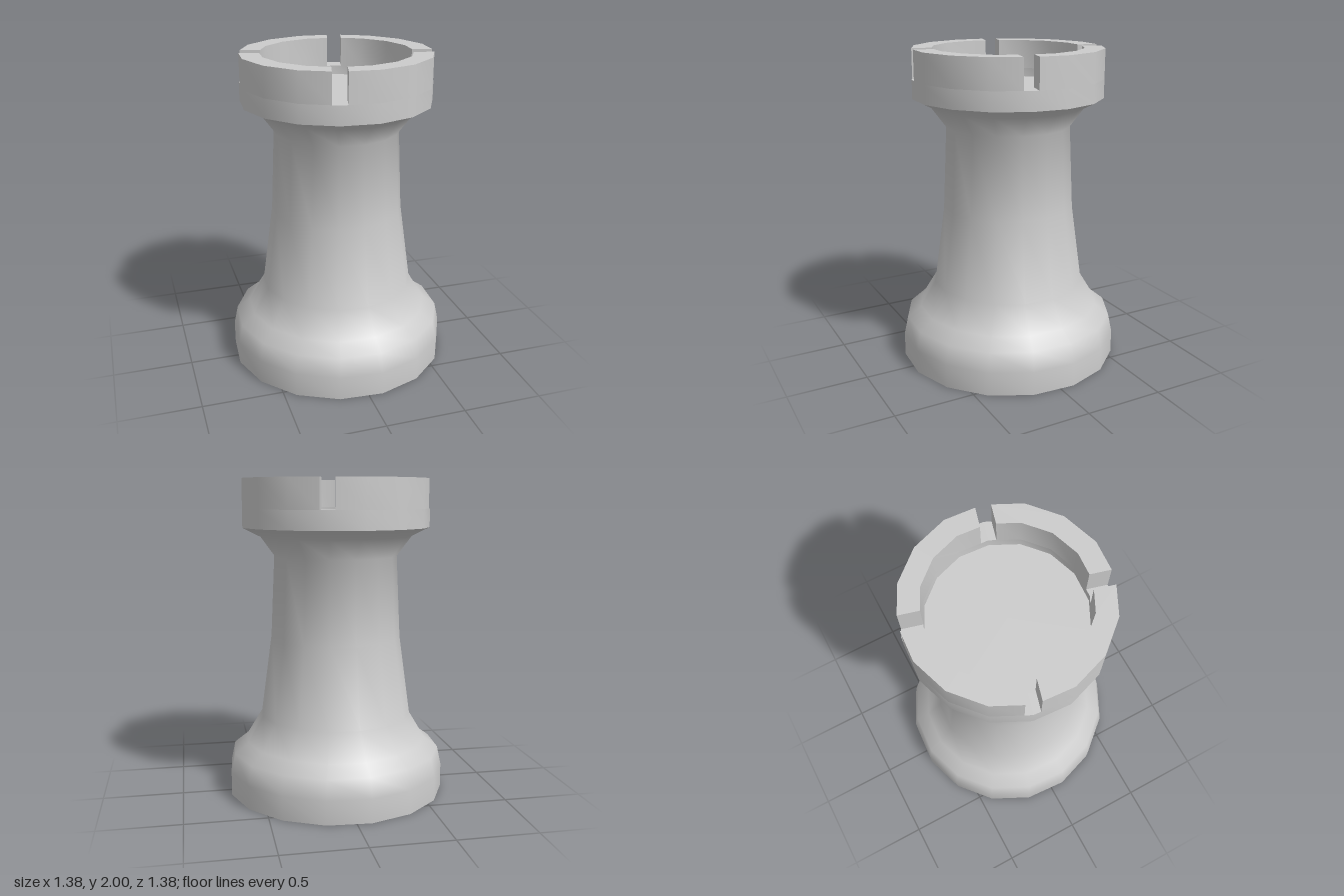
import * as THREE from 'three';
import { toCreasedNormals } from 'three/addons/utils/BufferGeometryUtils.js';

const SIDES = 16;
const STEP = (Math.PI * 2) / SIDES;
const TURN = THREE.MathUtils.degToRad(15); // direction of the first notch
const CREASE = 0.9;

const RIM_OUTER = 0.594, RIM_INNER = 0.47;
const NOTCH_Y = 1.816, FLOOR_Y = 1.76, TOP_Y = 2, NOTCH_HALF = 0.045;

export function createModel() {
  const group = new THREE.Group();
  const material = new THREE.MeshStandardMaterial({ color: 0xcccccc });

  const add = (name, geometry) => {
    const mesh = new THREE.Mesh(toCreasedNormals(geometry, CREASE), material);
    mesh.name = name;
    group.add(mesh);
    return mesh;
  };

  // Base, tapering shaft, flared collar and the sunken floor in one turned profile
  const profile = [
    [0, 0], [0.698, 0], [0.698, 0.15], [0.672, 0.27], [0.585, 0.335],
    [0.485, 0.5], [0.416, 1], [0.391, 1.52], [0.483, 1.645],
    [RIM_OUTER, 1.7], [RIM_OUTER, NOTCH_Y], [RIM_INNER, NOTCH_Y],
    [RIM_INNER, FLOOR_Y], [0, FLOOR_Y],
  ].map(([r, y]) => new THREE.Vector2(r, y));
  add('towerBody', new THREE.LatheGeometry(profile, SIDES, Math.PI / 2 - TURN));

  // One wall block between two notches, spanning a quarter of the rim
  const arc = (r) => {
    const u = r - NOTCH_HALF * Math.tan(STEP / 2); // where the notch side cuts the facet
    const points = [new THREE.Vector2(u, NOTCH_HALF)];
    for (let i = 1; i < SIDES / 4; i++) {
      points.push(new THREE.Vector2(r * Math.cos(i * STEP), r * Math.sin(i * STEP)));
    }
    points.push(new THREE.Vector2(NOTCH_HALF, u));
    return points;
  };
  const outline = new THREE.Shape([...arc(RIM_OUTER), ...arc(RIM_INNER).reverse()]);

  // Four battlements around the rim
  for (let k = 0; k < 4; k++) {
    const geometry = new THREE.ExtrudeGeometry(outline, { depth: TOP_Y - NOTCH_Y, bevelEnabled: false });
    geometry.rotateX(Math.PI / 2).translate(0, TOP_Y, 0);
    geometry.rotateY(-TURN - (k * Math.PI) / 2);
    add(`battlement${k + 1}`, geometry);
  }

  return group;
}
